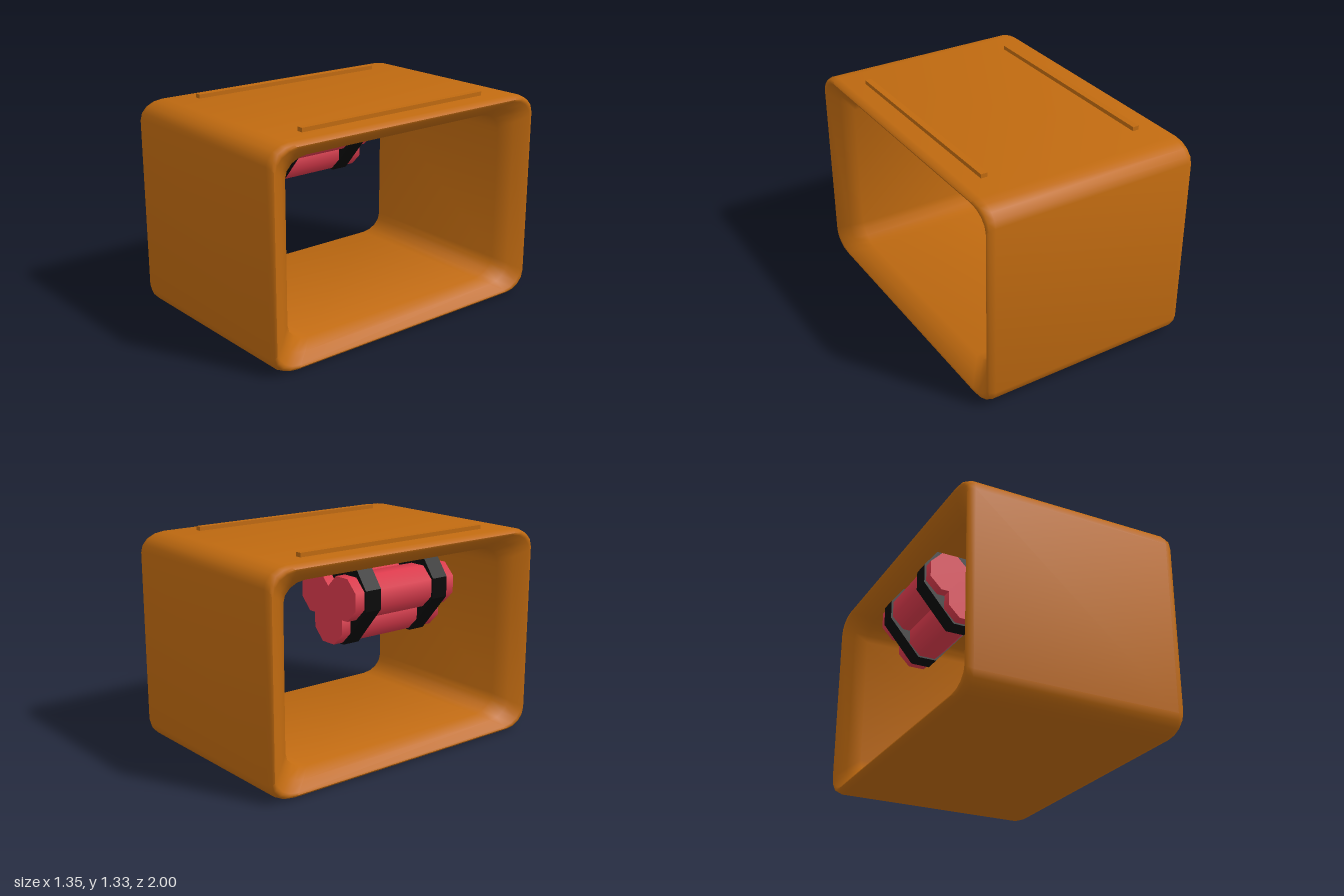
import * as THREE from 'three';
import { toCreasedNormals } from 'three/addons/utils/BufferGeometryUtils.js';

const mat = (color) => new THREE.MeshStandardMaterial({ color });

// Closed rounded-rectangle ring in the zy plane, inset from the full outline
function ring(x, insetZ, insetY, seg = 4) {
  const hz = 1 - insetZ, hy = 0.6525 - insetY, rz = 0.15, ry = 0.11;
  const pts = [];
  for (let q = 0; q < 4; q++) {
    const sz = q === 0 || q === 3 ? 1 : -1, sy = q < 2 ? 1 : -1;
    for (let k = 0; k <= seg; k++) {
      const a = (q + k / seg) * Math.PI / 2;
      pts.push([x, 0.6525 + sy * (hy - ry) + ry * Math.sin(a), sz * (hz - rz) + rz * Math.cos(a)]);
    }
  }
  return pts;
}

// Sleeve open on both x sides, thin at the rims and thicker inside
function shellGeometry() {
  const half = [ // x, inset z, inset y: outside, rim, flared mouth, inside
    [0.63, 0, 0], [0.665, 0.008, 0.01], [0.675, 0.018, 0.022],
    [0.67, 0.032, 0.034], [0.615, 0.105, 0.075], [0.55, 0.18, 0.118],
  ];
  const profile = [...half, ...half.map(([x, z, y]) => [-x, z, y]).reverse()];
  const rings = profile.map((p) => ring(...p));
  const n = rings[0].length, m = rings.length, index = [];
  for (let j = 0; j < m; j++) {
    for (let i = 0; i < n; i++) {
      const a = j * n + i, b = ((j + 1) % m) * n + i;
      const c = j * n + (i + 1) % n, d = ((j + 1) % m) * n + (i + 1) % n;
      index.push(a, b, c, b, d, c);
    }
  }
  const g = new THREE.BufferGeometry();
  g.setAttribute('position', new THREE.Float32BufferAttribute(rings.flat(2), 3));
  g.setIndex(index);
  return toCreasedNormals(g, 1.0);
}

export function createModel() {
  const model = new THREE.Group();
  const orange = mat(0xc06a10), red = mat(0xdc3a4c), black = mat(0x0a0a0a);
  const add = (name, geometry, material, x = 0, y = 0, z = 0, parent = model) => {
    const mesh = new THREE.Mesh(geometry, material);
    mesh.name = name;
    mesh.position.set(x, y, z);
    parent.add(mesh);
    return mesh;
  };

  add('shell', shellGeometry(), orange);

  // Two thin rails on the roof
  for (const s of [-1, 1]) {
    add('roofRail', new THREE.BoxGeometry(0.04, 0.04, 1.37), orange, s * 0.505, 1.31, 0);
  }

  // Three sticks hung under the roof near one opening
  const bundle = new THREE.Group();
  bundle.name = 'stickBundle';
  bundle.position.x = -0.37;
  model.add(bundle);
  const stick = new THREE.CylinderGeometry(0.133, 0.133, 0.75, 8);
  stick.rotateY(Math.PI / 8).rotateX(Math.PI / 2);
  for (const [x, y] of [[-0.12, 1.022], [0.12, 1.022], [0, 0.863]]) {
    add('stick', stick, red, x, y, 0, bundle);
  }

  // Straps wrapping the sticks and holding them to the roof
  const side = [[0.17, 1.195], [0.255, 1.08], [0.255, 0.96], [0.17, 0.86], [0.06, 0.73]];
  const outline = [...side, ...side.map(([x, y]) => [-x, y]).reverse()];
  const strapShape = new THREE.Shape(outline.map(([x, y]) => new THREE.Vector2(x, y)));
  const strap = new THREE.ExtrudeGeometry(strapShape, { depth: 0.11, bevelEnabled: false });
  for (const z of [0.2, -0.31]) add('strap', strap, black, 0, 0, z, bundle);

  return model;
}
